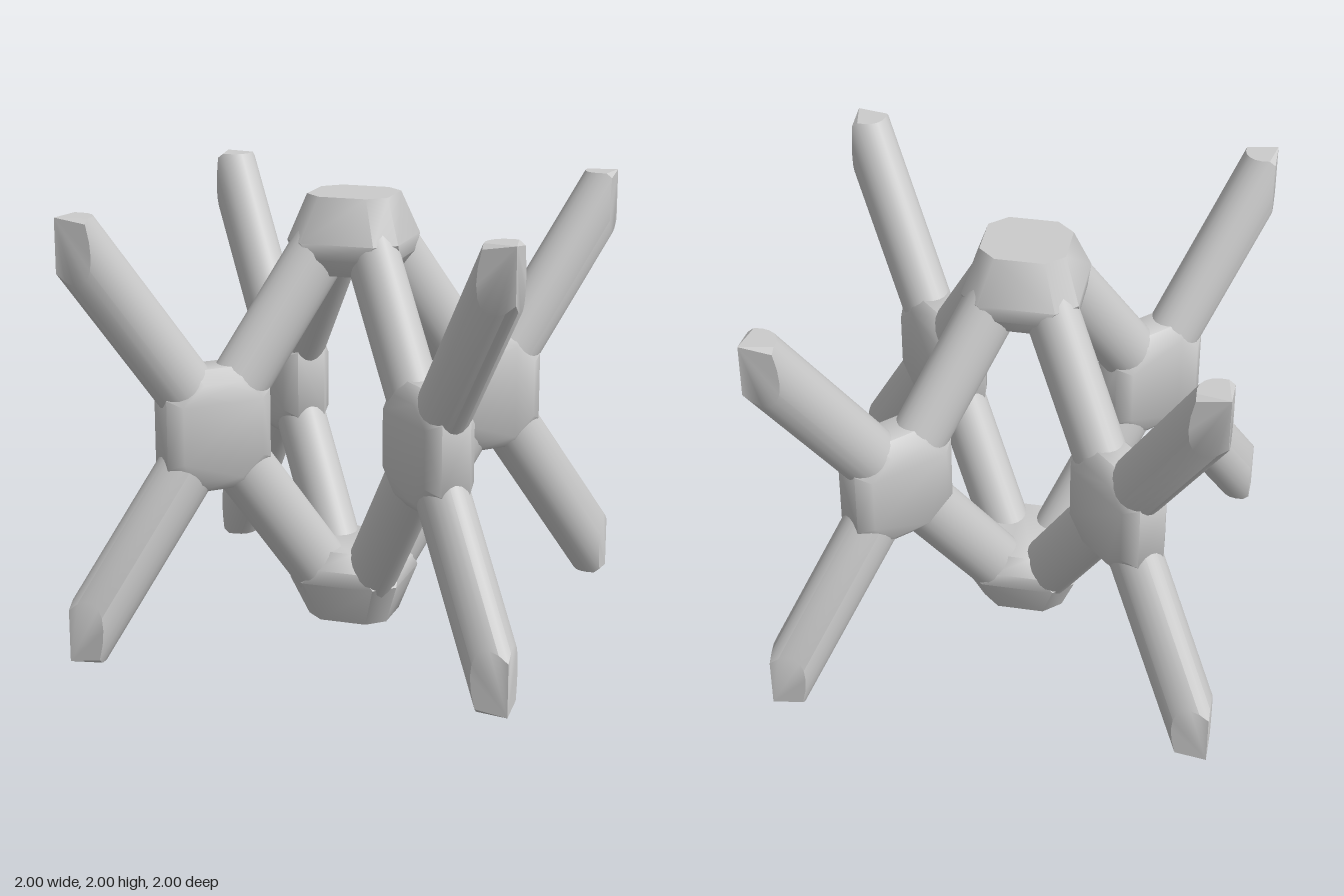
import * as THREE from 'three';
import { toCreasedNormals } from 'three/addons/utils/BufferGeometryUtils.js';
import { ConvexGeometry } from 'three/addons/geometries/ConvexGeometry.js';

const SIDES = 24;
const HALF_DEEP = 0.139; // strut half size in the plane of its cross
const HALF_THIN = 0.116; // strut half size across that plane
const material = new THREE.MeshStandardMaterial({ color: 0xcccccc });

// Elliptical strut from a hub to a cell point, cut off by the unit cell's walls
function strutGeometry(start, tip) {
  const d = tip.clone().sub(start).normalize();
  const o = new THREE.Vector3().crossVectors(d, new THREE.Vector3(0, 1, 0)).normalize();
  const n = new THREE.Vector3().crossVectors(d, o);
  const wall = { x: Math.sign(d.x), y: d.y > 0 ? 2 : 0, z: Math.sign(d.z) };
  const near = [], far = [];
  for (let i = 0; i < SIDES; i++) {
    const a = (i / SIDES) * Math.PI * 2;
    const p = start.clone()
      .addScaledVector(o, HALF_THIN * Math.cos(a))
      .addScaledVector(n, HALF_DEEP * Math.sin(a));
    const reach = Math.min(...['x', 'y', 'z'].map((k) => (wall[k] - p[k]) / d[k]));
    near.push(p);
    far.push(p.clone().addScaledVector(d, reach));
  }
  const points = [];
  for (let i = 0; i < SIDES; i++) {
    const j = (i + 1) % SIDES;
    points.push(near[i], near[j], far[j], near[i], far[j], far[i]); // side
    points.push(tip, far[i], far[j]); // cut end
  }
  return toCreasedNormals(new THREE.BufferGeometry().setFromPoints(points), 0.6);
}

// Chamfered ring of eight points: (a, b) and (b2, a2) mirrored into all quadrants
function octagon(a, b, c, e, place) {
  const out = [];
  for (const s of [-1, 1]) for (const t of [-1, 1]) {
    out.push(place(s * a, t * b), place(s * c, t * e));
  }
  return out;
}

function addMesh(group, name, geometry) {
  const mesh = new THREE.Mesh(geometry, material);
  mesh.name = name;
  group.add(mesh);
}

export function createModel() {
  const group = new THREE.Group();
  group.name = 'latticeCell';
  const V = (x, y, z) => new THREE.Vector3(x, y, z);

  // Four upright crosses on the diagonals
  for (const sx of [-1, 1]) for (const sz of [-1, 1]) {
    const cross = new THREE.Group();
    cross.name = `${sz > 0 ? 'front' : 'back'}${sx > 0 ? 'Left' : 'Right'}Cross`;
    const centre = V(sx * 0.5, 1, sz * 0.5);
    for (const y of [0, 2]) {
      const level = y ? 'upper' : 'lower';
      addMesh(cross, `${level}OuterStrut`, strutGeometry(centre, V(sx, y, sz)));
      addMesh(cross, `${level}InnerStrut`, strutGeometry(centre, V(0, y, 0)));
    }
    // Hub where the four struts meet: broad octagon with thinner faces
    const r = Math.SQRT1_2;
    const at = (o) => (h, v) =>
      V(centre.x + sx * r * (h + o), 1 + v, centre.z + sz * r * (h - o));
    const hub = [];
    for (const s of [-1, 1]) {
      hub.push(...octagon(0.25, 0.16, 0.12, 0.28, at(s * 0.07)));
      hub.push(...octagon(0.19, 0.13, 0.09, 0.22, at(s * 0.122)));
    }
    addMesh(cross, 'crossHub', toCreasedNormals(new ConvexGeometry(hub), 0.9));
    group.add(cross);
  }

  // Flat-ended hubs at the middle of the top and bottom
  for (const top of [false, true]) {
    const at = (depth) => (x, z) => V(x, top ? 2 - depth : depth, z);
    const points = [
      ...octagon(0.19, 0.1, 0.11, 0.172, at(0)),
      ...octagon(0.26, 0.17, 0.17, 0.253, at(0.2)),
      ...octagon(0.255, 0.12, 0.12, 0.25, at(0.27)),
      ...octagon(0.2, 0.06, 0.06, 0.2, at(0.35)),
    ];
    addMesh(group, top ? 'topHub' : 'bottomHub', toCreasedNormals(new ConvexGeometry(points), 0.8));
  }
  return group;
}
